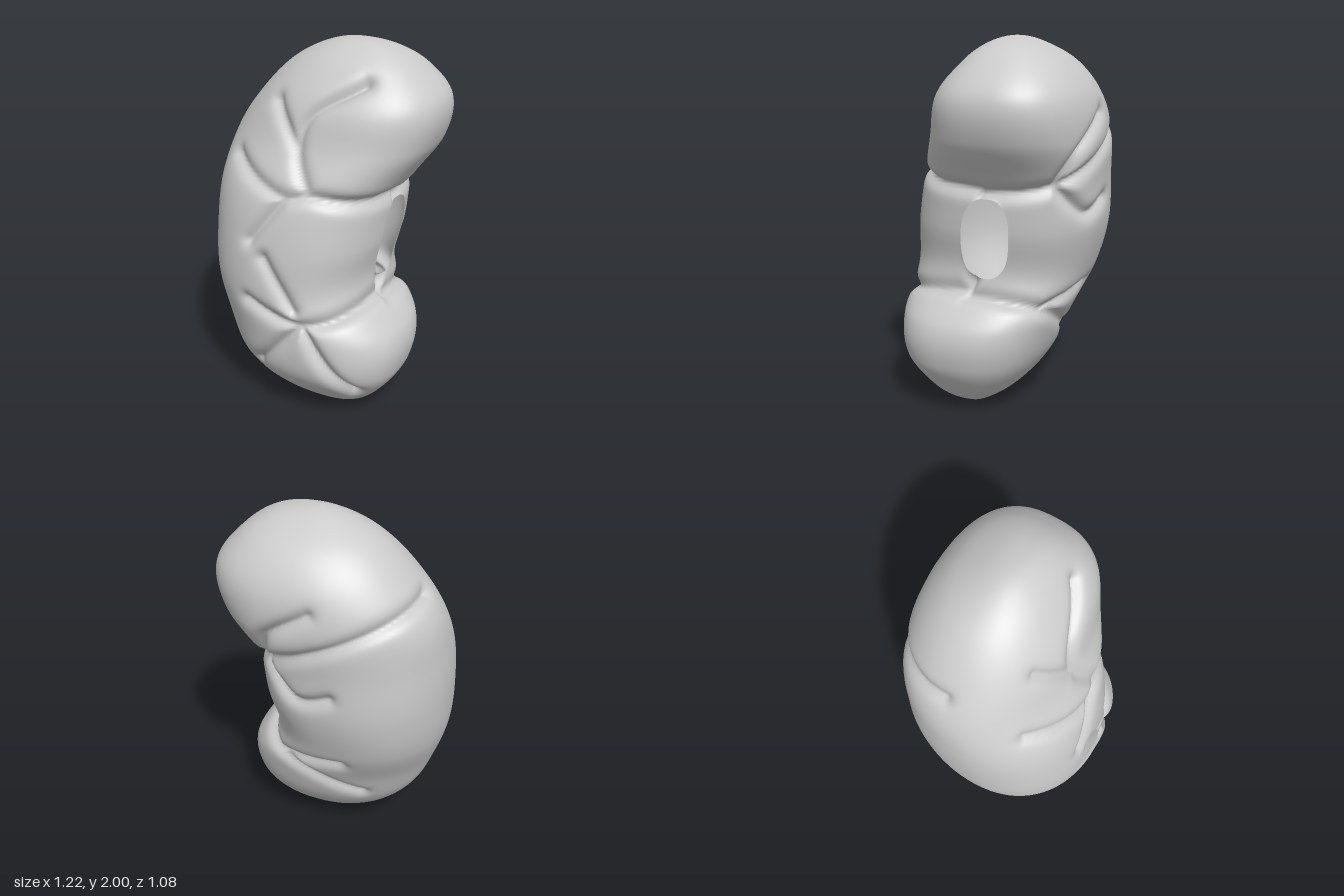
import * as THREE from 'three';

// Closed silhouette through widths taken at equal angles: up one side, down the other
const silhouette = (...w) => new THREE.CatmullRomCurve3(w.map(v => new THREE.Vector3(v)), true, 'catmullrom');
const across = silhouette(0.18, -0.02, -0.27, -0.43, -0.52, -0.59, -0.61, -0.6, -0.55, -0.41, -0.25, -0.06,
  0.12, 0.32, 0.48, 0.6, 0.57, 0.42, 0.38, 0.35, 0.53, 0.53, 0.43, 0.31);
const deep = silhouette(0.1, 0, -0.14, -0.26, -0.34, -0.44, -0.51, -0.52, -0.54, -0.51, -0.4, -0.24,
  -0.1, 0.02, 0.15, 0.27, 0.34, 0.46, 0.52, 0.54, 0.54, 0.51, 0.39, 0.25);

// Centre and half size of the horizontal section; t runs from 0 (bottom) to 1 (top)
function section(t) {
  const [l, r, b, f] = [across, deep].flatMap(c => [c.getPoint(t / 2).x, c.getPoint(1 - t / 2).x]);
  return { x: (l + r) / 2, z: (b + f) / 2, w: (r - l) / 2, d: (f - b) / 2 };
}
const power = u => (u > 0 ? 2.5 : 2.1); // the inner side is squarer

// Point on the smooth surface at (x, y), on the front (+1) or back (-1)
function project({ x, y }, side) {
  const s = section(Math.acos(1 - y) / Math.PI);
  const u = THREE.MathUtils.clamp((x - s.x) / s.w, -1, 1), n = power(u);
  return new THREE.Vector3(s.x + u * s.w, y, s.z + side * s.d * (1 - Math.abs(u) ** n) ** (1 / n));
}

// Grooves as (x, y) paths: creases around the two end lobes, and their branches
const FRONT = [
  [[-0.39, 1.41], [-0.15, 1.32], [0, 1.28], [0.15, 1.3], [0.5, 1.21]],
  [[0, 1.28], [-0.19, 1.03]],
  [[0.12, 1.3], [0.01, 1.5], [0.06, 1.68], [0.3, 1.84]],
  [[0.01, 1.5], [-0.18, 1.71]],
  [[-0.2, 0.69], [0.13, 0.61], [0.5, 0.74]],
  [[0.08, 0.68], [-0.1, 0.95]],
  [[0.13, 0.61], [-0.18, 0.28]],
  [[0.13, 0.61], [0.22, 0.45], [0.38, 0.2]],
];
const BACK = [
  [[0.5, 1.21], [0.3, 1.26], [-0.48, 1.63]],
  [[0.3, 1.26], [0.24, 1.45], [0, 1.62]],
  [[0.3, 1.26], [0.1, 1.1], [-0.1, 1.15]],
  [[0.5, 0.74], [0.27, 0.6], [-0.2, 0.36]],
  [[0.27, 0.6], [-0.12, 0.65]],
];
function groove(points, side) {
  const curve = new THREE.SplineCurve(points.map(p => new THREE.Vector2(...p)));
  const path = curve.getSpacedPoints(Math.ceil(curve.getLength() * 40)).map(q => project(q, side));
  return { path, box: new THREE.Box3().setFromPoints(path).expandByScalar(0.12) };
}

// Groove depth at a surface point, deeper towards the inner side
function grooveDepth(p, grooves) {
  const line = new THREE.Line3(), near = new THREE.Vector3();
  let d = Infinity;
  for (const { path, box } of grooves) {
    if (!box.containsPoint(p)) continue;
    for (let i = 1; i < path.length; i++) {
      line.set(path[i - 1], path[i]).closestPointToPoint(p, true, near);
      d = Math.min(d, near.distanceTo(p));
    }
  }
  return (0.038 + 0.015 * THREE.MathUtils.smoothstep(p.x, 0, 0.3)) * Math.exp(-((d / 0.035) ** 1.5));
}

// Rounded, slightly tilted opening on the inner side: below 1 is inside
const HOLE_Y = 0.97, holeZ = y => -0.03 - 0.1 * (y - HOLE_Y);
function opening(x, y, z) {
  if (x < 0.1) return Infinity;
  const u = Math.abs(z - holeZ(y)) / 0.135, v = Math.abs(y - HOLE_Y) / 0.22;
  return (u ** 2.6 + v ** 2.6) ** (1 / 2.6);
}

function bodyGeometry(rings, segs) {
  // Stack of rounded rings, drawn to a point at both ends
  const pos = [], index = [];
  const addPole = t => pos.push(section(t).x, 2 * t, section(t).z);
  addPole(0);
  for (let i = 1; i < rings; i++) {
    const s = section(i / rings), y = 1 - Math.cos(Math.PI * i / rings);
    for (let j = 0; j < segs; j++) {
      const a = 2 * Math.PI * j / segs, u = Math.cos(a), v = Math.sin(a), n = power(u);
      const k = (Math.abs(u) ** n + Math.abs(v) ** n) ** (-1 / n);
      pos.push(s.x + k * u * s.w, y, s.z + k * v * s.d);
    }
  }
  addPole(1);
  const top = pos.length / 3 - 1, id = (i, j) => 1 + (i - 1) * segs + j % segs;
  for (let j = 0; j < segs; j++) {
    index.push(0, id(1, j), id(1, j + 1));
    for (let i = 1; i < rings - 1; i++) {
      const a = id(i, j), b = id(i, j + 1), c = id(i + 1, j), d = id(i + 1, j + 1);
      index.push(a, c, b, b, c, d);
    }
    index.push(id(rings - 1, j), top, id(rings - 1, j + 1));
  }
  const geo = new THREE.BufferGeometry();
  geo.setAttribute('position', new THREE.Float32BufferAttribute(pos, 3));
  geo.setIndex(index);
  geo.computeVertexNormals();

  // Press the grooves in along the normals
  const grooves = [...FRONT.map(g => groove(g, 1)), ...BACK.map(g => groove(g, -1))];
  const P = geo.attributes.position, p = new THREE.Vector3(), n = new THREE.Vector3();
  for (let i = 0; i < P.count; i++) {
    p.fromBufferAttribute(P, i);
    n.fromBufferAttribute(geo.attributes.normal, i);
    p.addScaledVector(n, -grooveDepth(p, grooves));
    P.setXYZ(i, p.x, p.y, p.z);
  }

  // Cut the opening and pull its rim onto a clean curve
  const kept = [], hole = i => opening(P.getX(i), P.getY(i), P.getZ(i));
  for (let i = 0; i < index.length; i += 3) {
    const tri = index.slice(i, i + 3);
    if (tri.some(v => hole(v) >= 1)) kept.push(...tri);
  }
  for (const v of new Set(kept)) {
    const k = hole(v);
    if (k >= 1) continue;
    const y = HOLE_Y + (P.getY(v) - HOLE_Y) / k;
    P.setXYZ(v, P.getX(v), y, holeZ(y) + (P.getZ(v) - holeZ(P.getY(v))) / k);
  }
  geo.setIndex(kept);
  geo.computeVertexNormals();
  return geo;
}

export function createModel() {
  const group = new THREE.Group();
  group.name = 'kidney';
  const body = new THREE.Mesh(bodyGeometry(200, 220),
    new THREE.MeshStandardMaterial({ color: 0xcccccc, side: THREE.DoubleSide }));
  body.name = 'groovedHollowBody';
  group.add(body);
  return group;
}
